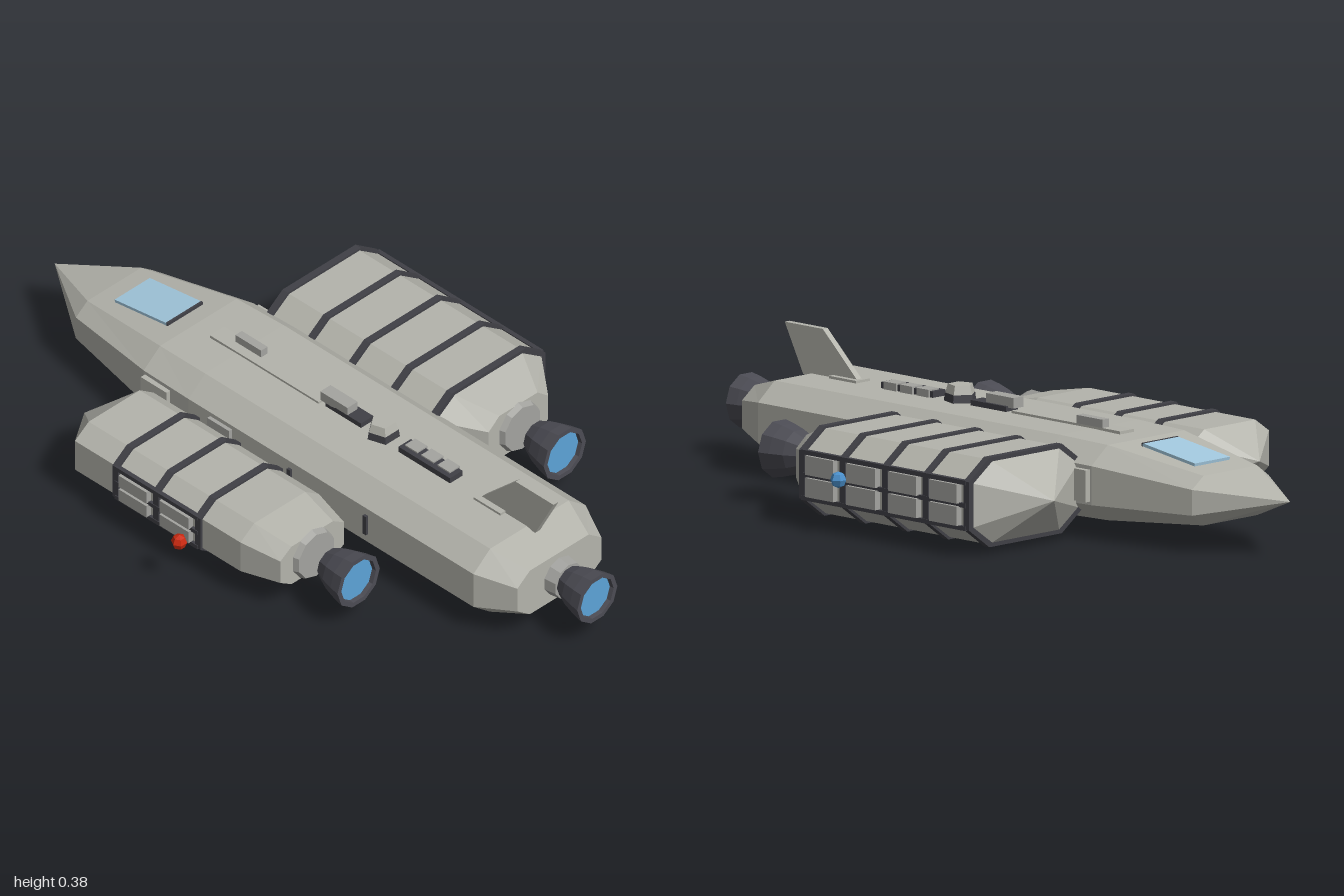
import * as THREE from 'three';

const mat = (name, color) => {
  const m = new THREE.MeshStandardMaterial({ color, flatShading: true });
  m.name = name;
  return m;
};

export function createModel() {
  const M = {
    hull: mat('hull grey', 0xb4b4ac),
    panel: mat('panel grey', 0xa4a4a0),
    dark: mat('dark trim', 0x404046),
    nozzle: mat('nozzle grey', 0x4c4c54),
    glow: mat('engine blue', 0x5ca4d8),
    glass: mat('window blue', 0xa2c8de),
    red: mat('red lamp', 0xcc2a10),
    blue: mat('blue lamp', 0x4a90cc),
  };
  const root = new THREE.Group();
  root.name = 'spaceship';

  const add = (name, geo, material, parent = root) => {
    const mesh = new THREE.Mesh(geo, material);
    mesh.name = name;
    parent.add(mesh);
    return mesh;
  };
  // Box given by its minimum and maximum on each axis
  const box = (name, material, x0, x1, y0, y1, z0, z1, parent = root) => {
    const m = add(name, new THREE.BoxGeometry(x1 - x0, y1 - y0, z1 - z0), material, parent);
    m.position.set((x0 + x1) / 2, (y0 + y1) / 2, (z0 + z1) / 2);
    return m;
  };
  // Chamfered rectangle, anticlockwise seen from +z
  const octagon = (w, h, fx, fy) => [
    [w, -h * fy], [w, h * fy], [w * fx, h], [-w * fx, h],
    [-w, h * fy], [-w, -h * fy], [-w * fx, -h], [w * fx, -h],
  ];
  // Body through octagonal sections [z, halfWidth, halfHeight, centreY]
  const loft = (sections, fx, fy) => {
    const pos = [], idx = [];
    sections.forEach(([z, w, h, y]) => octagon(w, h, fx, fy).forEach((p) => pos.push(p[0], p[1] + y, z)));
    for (let i = 0; i < sections.length - 1; i++) {
      for (let j = 0; j < 8; j++) {
        const k = (j + 1) % 8, a = i * 8 + j, b = i * 8 + k;
        idx.push(a, b, b + 8, a, b + 8, a + 8);
      }
    }
    const end = (sections.length - 1) * 8;
    for (let j = 1; j < 7; j++) idx.push(end, end + j, end + j + 1);
    const g = new THREE.BufferGeometry();
    g.setAttribute('position', new THREE.Float32BufferAttribute(pos, 3));
    g.setIndex(idx);
    const flat = g.toNonIndexed();
    flat.computeVertexNormals();
    return flat;
  };
  // Ten-sided bell with a glowing disc inside its rim
  const engine = (x, y, z, size) => {
    const g = new THREE.Group();
    g.name = 'engine';
    g.position.set(x, y, z);
    root.add(g);
    const profile = [[0, 0], [0.045, 0], [0.061, 0.035], [0.072, 0.075], [0.078, 0.108], [0.064, 0.108], [0.062, 0.09]]
      .map(([r, h]) => new THREE.Vector2(r * size, h));
    add('nozzle', new THREE.LatheGeometry(profile, 10, Math.PI / 10), M.nozzle, g).rotation.x = Math.PI / 2;
    add('engineGlow', new THREE.CircleGeometry(0.064 * size, 10), M.glow, g).position.z = 0.095;
  };
  const collar = (x, y, z, r, depth) => {
    const m = add('engineCollar', new THREE.CylinderGeometry(r * 0.9, r, depth, 10), M.panel);
    m.rotation.x = Math.PI / 2;
    m.position.set(x, y, z + depth / 2);
  };

  // Main hull
  add('mainHull', loft([
    [-1, 0, 0, 0.15], [-0.78, 0.142, 0.066, 0.137], [-0.47, 0.202, 0.1, 0.148],
    [-0.3, 0.207, 0.104, 0.148], [0.75, 0.207, 0.104, 0.147], [0.86, 0.155, 0.072, 0.147],
  ], 0.7, 0.52), M.hull).position.x = -0.003;
  collar(-0.003, 0.145, 0.855, 0.058, 0.04);
  engine(-0.003, 0.145, 0.892, 0.95);

  // Cockpit window lying on the sloping nose
  const win = add('cockpitWindow', new THREE.BoxGeometry(0.13, 0.008, 0.193), M.glass);
  win.position.set(-0.001, 0.232, -0.62);
  win.rotation.x = -0.142;
  const sill = add('windowSill', new THREE.BoxGeometry(0.13, 0.009, 0.006), M.dark);
  sill.position.set(-0.001, 0.246, -0.524);

  // Tail fin, drawn in z and y, then turned to stand along the hull
  const finShape = new THREE.Shape([[0.57, 0.245], [0.78, 0.245], [0.848, 0.375], [0.708, 0.375]]
    .map(([z, y]) => new THREE.Vector2(-z, y)));
  const fin = add('tailFin', new THREE.ExtrudeGeometry(finShape, { depth: 0.018, bevelEnabled: false }), M.hull);
  fin.rotation.y = Math.PI / 2;
  fin.position.x = -0.012;

  // Spine strip and equipment on the back of the hull
  box('spineStrip', M.hull, -0.03, 0.022, 0.25, 0.258, -0.4, 0.0);
  box('spineBox', M.panel, -0.002, 0.022, 0.25, 0.28, -0.335, -0.24);
  box('spineStripRear', M.hull, -0.03, 0.022, 0.25, 0.258, 0.57, 0.67);
  box('spineDuct', M.dark, -0.024, 0.022, 0.25, 0.266, 0.02, 0.15);
  box('gunHousing', M.panel, -0.024, 0.014, 0.262, 0.29, 0.0, 0.1);
  box('rearDuct', M.dark, -0.026, 0.02, 0.25, 0.268, 0.29, 0.48);
  for (const z of [0.3, 0.36, 0.42]) box('ductCover', M.panel, -0.012, 0.026, 0.25, 0.272, z, z + 0.045);
  const turretBase = add('turretBase', new THREE.CylinderGeometry(0.042, 0.045, 0.022, 5), M.dark);
  turretBase.position.set(-0.003, 0.262, 0.21);
  const turret = add('turret', new THREE.CylinderGeometry(0.034, 0.042, 0.026, 5), M.hull);
  turret.position.set(-0.003, 0.284, 0.21);
  turretBase.rotation.y = turret.rotation.y = Math.PI;

  // Belly equipment
  box('bellyRail', M.dark, -0.045, -0.005, 0.022, 0.046, 0.22, 0.325);
  box('bellyPlate', M.dark, -0.04, 0.005, 0.026, 0.046, 0.1, 0.2);
  box('bellyBox', M.panel, -0.007, 0.035, 0, 0.046, 0.1, 0.15);

  // Hatches on the flanks of the hull
  for (const s of [-1, 1]) {
    const x = s * 0.21 - 0.003;
    box('flankHatch', M.hull, x - 0.008, x + 0.008, 0.105, 0.19, -0.465, -0.37);
    box('flankPlate', M.panel, x - 0.008, x + 0.008, 0.105, 0.19, -0.22, -0.14);
    for (const z of [0.07, 0.35]) box('flankSlot', M.dark, x - 0.005, x + 0.005, 0.12, 0.18, z, z + 0.012);
  }

  // Side pods: body, straps, framed side panels and engine
  const pod = (name, o) => {
    const g = new THREE.Group();
    g.name = name;
    g.position.x = o.x;
    root.add(g);
    add('podBody', loft([
      [-0.51, 0, 0, o.y], [-0.4, o.w, o.h, o.y], [0.21, o.w, o.h, o.y], [0.33, o.endW, o.endH, o.y],
    ], o.fx, o.fy), M.hull, g);
    const ring = new THREE.Shape(octagon(o.w + 0.007, o.h + 0.006, o.fx, o.fy).map((p) => new THREE.Vector2(...p)));
    for (const z of o.straps) {
      const strap = add('strap', new THREE.ExtrudeGeometry(ring, { depth: 0.02, bevelEnabled: false }), M.dark, g);
      strap.position.set(0, o.y, z - 0.01);
    }
    const s = Math.sign(o.x), half = o.h * o.fy;
    const side = (label, material, out, y0, y1, z0, z1) => {
      const a = s * (o.w - 0.004), b = s * (o.w + out);
      box(label, material, Math.min(a, b), Math.max(a, b), o.y + y0, o.y + y1, z0, z1, g);
    };
    const z0 = o.straps[0], z1 = o.straps[o.straps.length - 1];
    for (const y of [-half, 0, half]) side('sideRail', M.dark, 0.009, y - 0.006, y + 0.006, z0, z1);
    for (let i = 0; i < o.straps.length - 1; i++) {
      const a = o.straps[i] + 0.024, b = o.straps[i + 1] - 0.024;
      for (const y of [-half + 0.006, 0.004]) side('sidePanel', M.panel, 0.018, y, y + half - 0.01, a, b);
    }
    collar(o.x, o.y, 0.328, 0.075, 0.018);
    engine(o.x, o.y, 0.393, 1);
  };
  pod('largePod', {
    x: 0.377, y: 0.138, w: 0.203, h: 0.113, fx: 0.64, fy: 0.54, endW: 0.11, endH: 0.07,
    straps: [-0.395, -0.245, -0.095, 0.06, 0.21],
  });
  pod('smallPod', {
    x: -0.384, y: 0.137, w: 0.145, h: 0.083, fx: 0.65, fy: 0.57, endW: 0.118, endH: 0.062,
    straps: [-0.245, -0.095, 0.06],
  });

  // Running lamps
  add('redLamp', new THREE.SphereGeometry(0.022, 6, 4), M.red).position.set(-0.605, 0.147, 0.06);
  add('blueLamp', new THREE.SphereGeometry(0.022, 6, 4), M.blue).position.set(0.602, 0.147, 0.06);

  return root;
}
